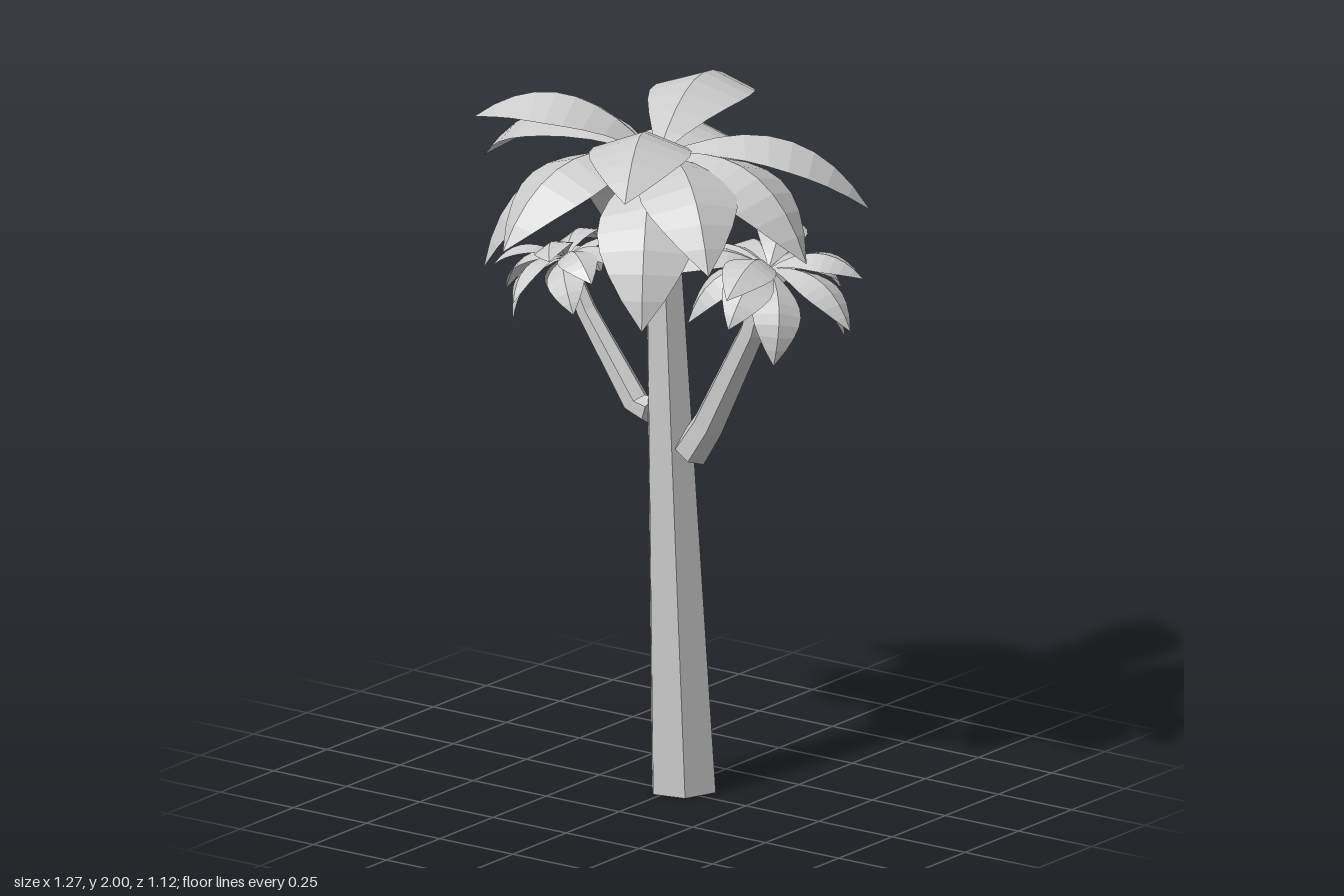
import * as THREE from 'three';

const material = new THREE.MeshStandardMaterial({ color: 0xcccccc, flatShading: true, side: THREE.DoubleSide });

function buildMesh(name, positions, indices) {
  const indexed = new THREE.BufferGeometry();
  indexed.setAttribute('position', new THREE.Float32BufferAttribute(positions, 3));
  indexed.setIndex(indices);
  const geometry = indexed.toNonIndexed();
  geometry.computeVertexNormals();
  const mesh = new THREE.Mesh(geometry, material);
  mesh.name = name;
  return mesh;
}

// Tapered six-sided stem through rings of [x, y, z, radius]
function stem(name, rings, turn, closedBottom) {
  const sides = 6, positions = [], indices = [];
  rings.forEach(([x, y, z, r], i) => {
    const a = rings[Math.max(i - 1, 0)], b = rings[Math.min(i + 1, rings.length - 1)];
    const length = Math.hypot(b[0] - a[0], b[1] - a[1]);
    const nx = (b[1] - a[1]) / length, ny = -(b[0] - a[0]) / length;
    for (let s = 0; s < sides; s++) {
      const angle = turn + (s / sides) * Math.PI * 2, c = Math.cos(angle) * r;
      positions.push(x + nx * c, y + ny * c, z + Math.sin(angle) * r);
    }
  });
  for (let i = 0; i < rings.length - 1; i++) {
    for (let s = 0; s < sides; s++) {
      const a = i * sides + s, b = i * sides + (s + 1) % sides;
      indices.push(a, a + sides, b, b, a + sides, b + sides);
    }
  }
  if (closedBottom) {
    for (let s = 1; s < sides - 1; s++) indices.push(0, s, s + 1);
  }
  return buildMesh(name, positions, indices);
}

// Arched leaf folded along its midrib, from the origin to the given tip
function leaf([x, y, z], halfWidth) {
  const steps = 9, positions = [], indices = [];
  const drop = Math.max(0, -y);
  const reach = 0.5 + drop * 0.9 + drop * drop * 0.8;
  const midrib = new THREE.QuadraticBezierCurve3(
    new THREE.Vector3(),
    new THREE.Vector3(x * reach, 0.29 - 0.7 * drop, z * reach),
    new THREE.Vector3(x, y, z)
  );
  const side = new THREE.Vector3(-z, 0, x).normalize();
  for (let i = 0; i <= steps; i++) {
    const t = i / steps;
    const p = midrib.getPoint(t);
    const normal = side.clone().cross(midrib.getTangent(t)).normalize();
    if (normal.y < 0) normal.negate();
    const w = halfWidth * Math.pow(Math.max(0, Math.sin(Math.PI * Math.pow(t, 1.1))), 0.85);
    for (const k of [-1, 0, 1]) {
      const v = p.clone().addScaledVector(side, k * w).addScaledVector(normal, -Math.abs(k) * w * 0.35);
      positions.push(v.x, v.y, v.z);
    }
  }
  for (let i = 0; i < steps; i++) {
    for (const k of [0, 1]) {
      const a = i * 3 + k;
      indices.push(a, a + 1, a + 3, a + 1, a + 4, a + 3);
    }
  }
  return buildMesh('leaf', positions, indices);
}

// Leaf tips relative to the heart of a crown
const upperTips = [
  [-0.145, 0.02, -0.59], [0.46, -0.16, -0.365], [0.51, -0.22, 0],
  [0.273, 0.04, 0.528], [-0.16, -0.18, 0.507], [-0.47, 0.085, 0.215], [-0.61, -0.11, -0.025],
];
const lowerTips = [
  [0.23, -0.37, 0.39], [0.4, -0.2, 0.31], [-0.39, -0.32, 0.28],
  [-0.34, -0.37, -0.29], [-0.12, -0.2, -0.47], [0.24, -0.36, -0.31],
];

function crown(name, position, scale, turn, tilt) {
  const group = new THREE.Group();
  group.name = name;
  upperTips.forEach((tip) => group.add(leaf(tip, 0.142)));
  lowerTips.forEach((tip) => group.add(leaf(tip, 0.138)));
  group.position.set(...position);
  group.scale.setScalar(scale);
  group.rotation.set(0, turn, tilt, 'ZYX');
  return group;
}

export function createModel() {
  const tree = new THREE.Group();
  tree.name = 'palmTree';

  // Hollow-based trunk and two bent side branches
  tree.add(stem('trunk', [[0.02, 0, -0.025, 0.1], [-0.025, 1.83, 0.025, 0.046]], -0.14, false));
  tree.add(stem('leftBranch', [
    [0.07, 0.99, 0.01, 0.052], [0.13, 1.08, 0.01, 0.048], [0.285, 1.38, 0.015, 0.038], [0.34, 1.57, 0.02, 0.026],
  ], 0, true));
  tree.add(stem('rightBranch', [
    [-0.06, 1.09, 0.02, 0.04], [-0.11, 1.105, 0.02, 0.039], [-0.28, 1.34, 0.02, 0.03], [-0.35, 1.48, 0.02, 0.022],
  ], 0, true));

  // Crowns of leaves
  tree.add(crown('mainCrown', [-0.03, 1.83, 0.03], 1, 0, 0));
  tree.add(crown('leftCrown', [0.34, 1.57, 0.015], 0.51, Math.PI, -0.24));
  tree.add(crown('rightCrown', [-0.35, 1.48, 0.02], 0.4, 0, 0.37));
  return tree;
}
